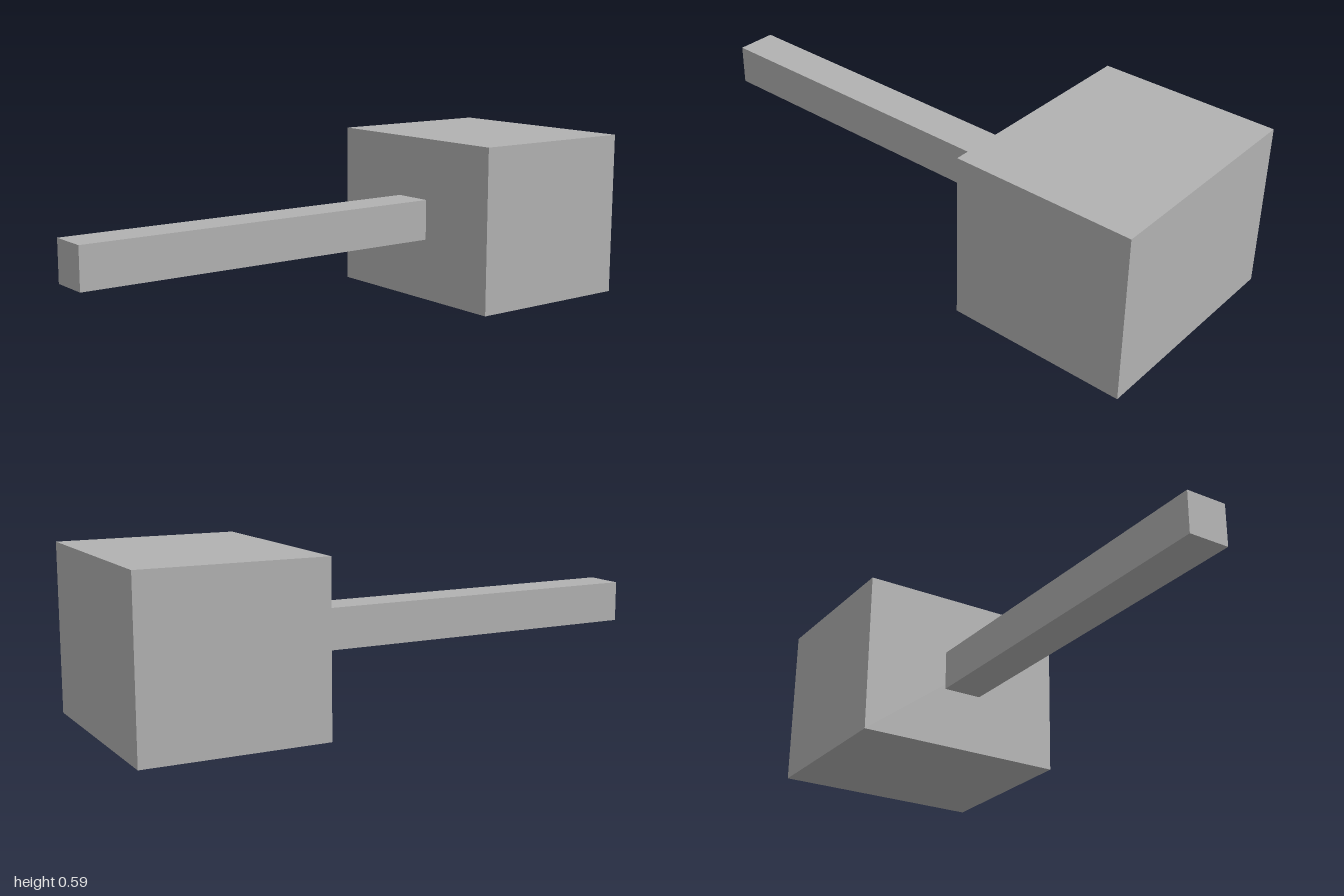
import * as THREE from 'three';

export function createModel() {
  const model = new THREE.Group();
  model.name = 'mallet';

  const grey = new THREE.MeshStandardMaterial({ color: 0xb2b2b2 });
  grey.name = 'grey';

  const midHeight = 0.293;
  const addBlock = (name, width, height, zBack, zFront) => {
    const depth = zFront - zBack;
    const mesh = new THREE.Mesh(new THREE.BoxGeometry(width, height, depth), grey);
    mesh.name = name;
    mesh.position.set(0, midHeight, (zBack + zFront) / 2);
    model.add(mesh);
  };

  // Heavy block at the back
  addBlock('head', 0.778, 2 * midHeight, -1, -0.367);
  // Square bar running forward from the middle of the head
  addBlock('handle', 0.145, 0.145, -0.367, 1);

  return model;
}
